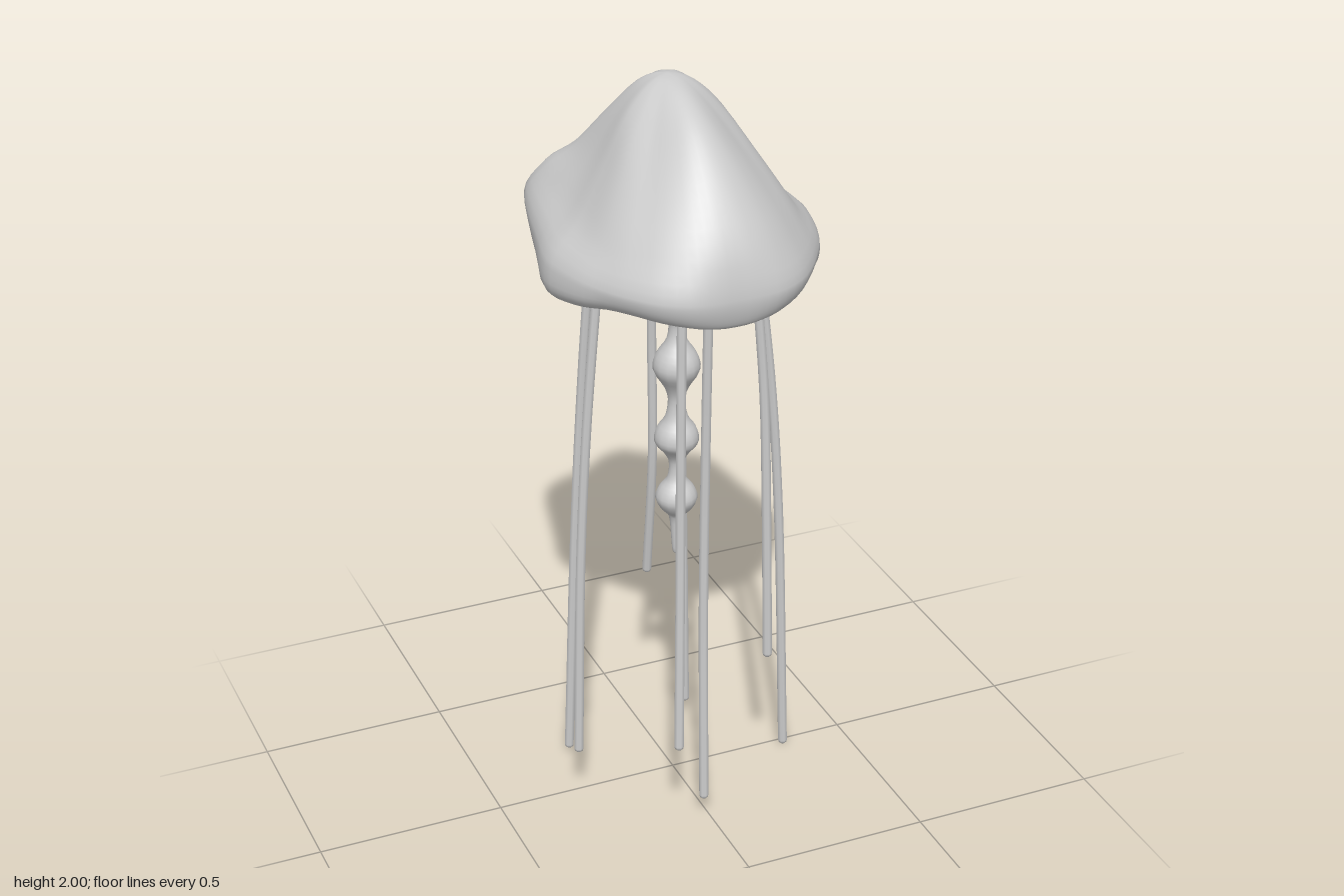
import * as THREE from 'three';
import { mergeVertices } from 'three/addons/utils/BufferGeometryUtils.js';

const material = new THREE.MeshStandardMaterial({ color: 0xcccccc, side: THREE.DoubleSide });
const APEX_Z = -0.03;

// Widest outline of the bell, from the front round its left side to the back: [x, z]
const outline = new THREE.CatmullRomCurve3([
  [0, 0.402], [0.06, 0.403], [0.12, 0.395], [0.185, 0.36], [0.24, 0.3], [0.285, 0.235],
  [0.32, 0.18], [0.347, 0.11], [0.36, 0.04], [0.335, -0.08], [0.305, -0.22],
  [0.275, -0.295], [0.215, -0.325], [0.13, -0.342], [0.06, -0.385], [0, -0.405],
].map(([x, z]) => new THREE.Vector3(x, 0, z)));

// Bell profiles round the outline: u is the place on it, p lists [share of radius, height]
const profiles = [
  { u: 0, p: [[0, 2], [0.1, 1.993], [0.25, 1.973], [0.5, 1.915], [0.76, 1.805], [0.94, 1.685], [1, 1.58], [0.985, 1.53], [0.95, 1.5]] },
  { u: 0.28, p: [[0, 2], [0.1, 1.992], [0.23, 1.962], [0.45, 1.88], [0.68, 1.78], [0.88, 1.675], [1, 1.585], [0.98, 1.55], [0.91, 1.525]] },
  { u: 0.533, p: [[0, 2], [0.1, 1.992], [0.22, 1.965], [0.36, 1.91], [0.54, 1.8], [0.74, 1.69], [0.97, 1.6], [0.99, 1.53], [0.88, 1.492]] },
  { u: 0.733, p: [[0, 2], [0.1, 1.992], [0.22, 1.965], [0.44, 1.875], [0.65, 1.785], [0.87, 1.72], [1, 1.64], [0.94, 1.565], [0.78, 1.525]] },
  { u: 1, p: [[0, 2], [0.1, 1.992], [0.22, 1.967], [0.43, 1.87], [0.64, 1.795], [0.86, 1.762], [1, 1.68], [0.9, 1.585], [0.66, 1.507]] },
];

// Meridian at u: outer skin, rim, hollow underside and central bulge
function meridian(u) {
  let k = 0;
  while (k < profiles.length - 2 && u > profiles[k + 1].u) k++;
  const a = profiles[k], b = profiles[k + 1];
  const t = THREE.MathUtils.smoothstep(u, a.u, b.u);
  const pts = a.p.map(([f, y], i) => [
    THREE.MathUtils.lerp(f, b.p[i][0], t), THREE.MathUtils.lerp(y, b.p[i][1], t)]);
  const [rimF, rimY] = pts[pts.length - 1];
  pts.push([rimF * 0.93, rimY + 0.025], [rimF * 0.8, rimY + 0.09], [rimF * 0.63, 1.66],
    [rimF * 0.5, 1.57], [rimF * 0.25, 1.51], [0, 1.49]);
  return new THREE.CatmullRomCurve3(pts.map(([f, y]) => new THREE.Vector3(f, y, 0)));
}

function bellGeometry(columns = 72, rows = 56) {
  const pos = [], index = [];
  for (let i = 0; i < columns; i++) {
    const v = (2 * i) / columns;
    const u = v <= 1 ? v : 2 - v;
    const side = v <= 1 ? 1 : -1;
    const edge = outline.getPoint(u), curve = meridian(u);
    const next = (i + 1) % columns;
    for (let j = 0; j <= rows; j++) {
      const { x: f, y } = curve.getPoint(j / rows);
      pos.push(side * edge.x * f, y, APEX_Z + (edge.z - APEX_Z) * f);
      if (j === rows) continue;
      const a = i * (rows + 1) + j, d = next * (rows + 1) + j;
      if (j < rows - 1) index.push(a, a + 1, d + 1);
      if (j > 0) index.push(a, d + 1, d);
    }
  }
  const g = new THREE.BufferGeometry();
  g.setAttribute('position', new THREE.Float32BufferAttribute(pos, 3));
  g.setIndex(index);
  const merged = mergeVertices(g, 1e-5);
  merged.computeVertexNormals();
  return merged;
}

// Beaded central arm, as [radius, height]
function armGeometry() {
  const pts = [
    [0, 0.69], [0.01, 0.695], [0.014, 0.74], [0.02, 0.8], [0.04, 0.825], [0.055, 0.855],
    [0.046, 0.885], [0.024, 0.915], [0.02, 0.96], [0.034, 0.99], [0.057, 1.02], [0.052, 1.055],
    [0.03, 1.09], [0.022, 1.14], [0.034, 1.18], [0.06, 1.225], [0.054, 1.265],
    [0.026, 1.31], [0.022, 1.36], [0.045, 1.4], [0.07, 1.44], [0.07, 1.48], [0.03, 1.54],
  ].map(([r, y]) => new THREE.Vector2(r, y));
  const smooth = new THREE.SplineCurve(pts).getPoints(66);
  smooth.forEach((p) => { p.x = Math.max(p.x, 0); });
  return new THREE.LatheGeometry(smooth, 16);
}

// Tentacles: [x, y, z] from the top to the tip
const tentacles = [
  [[-0.22, 1.6, 0.065], [-0.26, 1.13, 0.062], [-0.281, 0.75, 0.06], [-0.298, 0.18, 0.065]],
  [[-0.17, 1.6, -0.11], [-0.193, 1.13, -0.143], [-0.213, 0.7, -0.158], [-0.236, 0.03, -0.17]],
  [[-0.078, 1.6, 0.24], [-0.088, 1.1, 0.256], [-0.096, 0.75, 0.272], [-0.115, 0.29, 0.31]],
  [[0.002, 1.6, 0.22], [0.002, 1.1, 0.205], [-0.004, 0.65, 0.21], [-0.013, 0.065, 0.24]],
  [[0.018, 1.6, -0.18], [0.03, 1.2, -0.208], [0.035, 0.85, -0.218], [0.04, 0.47, -0.272]],
  [[0.09, 1.6, -0.18], [0.105, 1.1, -0.192], [0.115, 0.7, -0.2], [0.13, 0.06, -0.217]],
  [[0.135, 1.6, 0.185], [0.165, 1.2, 0.195], [0.172, 0.85, 0.207], [0.175, 0.45, 0.22]],
  [[0.21, 1.6, 0.02], [0.268, 1.13, 0.018], [0.296, 0.75, 0.018], [0.322, 0.013, 0.02]],
];

function makeTentacle(points) {
  const group = new THREE.Group();
  group.name = 'tentacle';
  const path = new THREE.CatmullRomCurve3(points.map((p) => new THREE.Vector3(...p)));
  const strand = new THREE.Mesh(new THREE.TubeGeometry(path, 32, 0.013, 8), material);
  strand.name = 'tentacleStrand';
  const tip = new THREE.Mesh(new THREE.SphereGeometry(0.013, 8, 6), material);
  tip.name = 'tentacleTip';
  tip.position.set(...points[points.length - 1]);
  group.add(strand, tip);
  return group;
}

export function createModel() {
  const model = new THREE.Group();
  model.name = 'jellyfish';

  const bell = new THREE.Mesh(bellGeometry(), material);
  bell.name = 'bell';

  const arm = new THREE.Mesh(armGeometry(), material);
  arm.name = 'beadedArm';
  arm.position.z = 0.025;

  model.add(bell, arm);
  tentacles.forEach((t) => model.add(makeTentacle(t)));
  return model;
}
